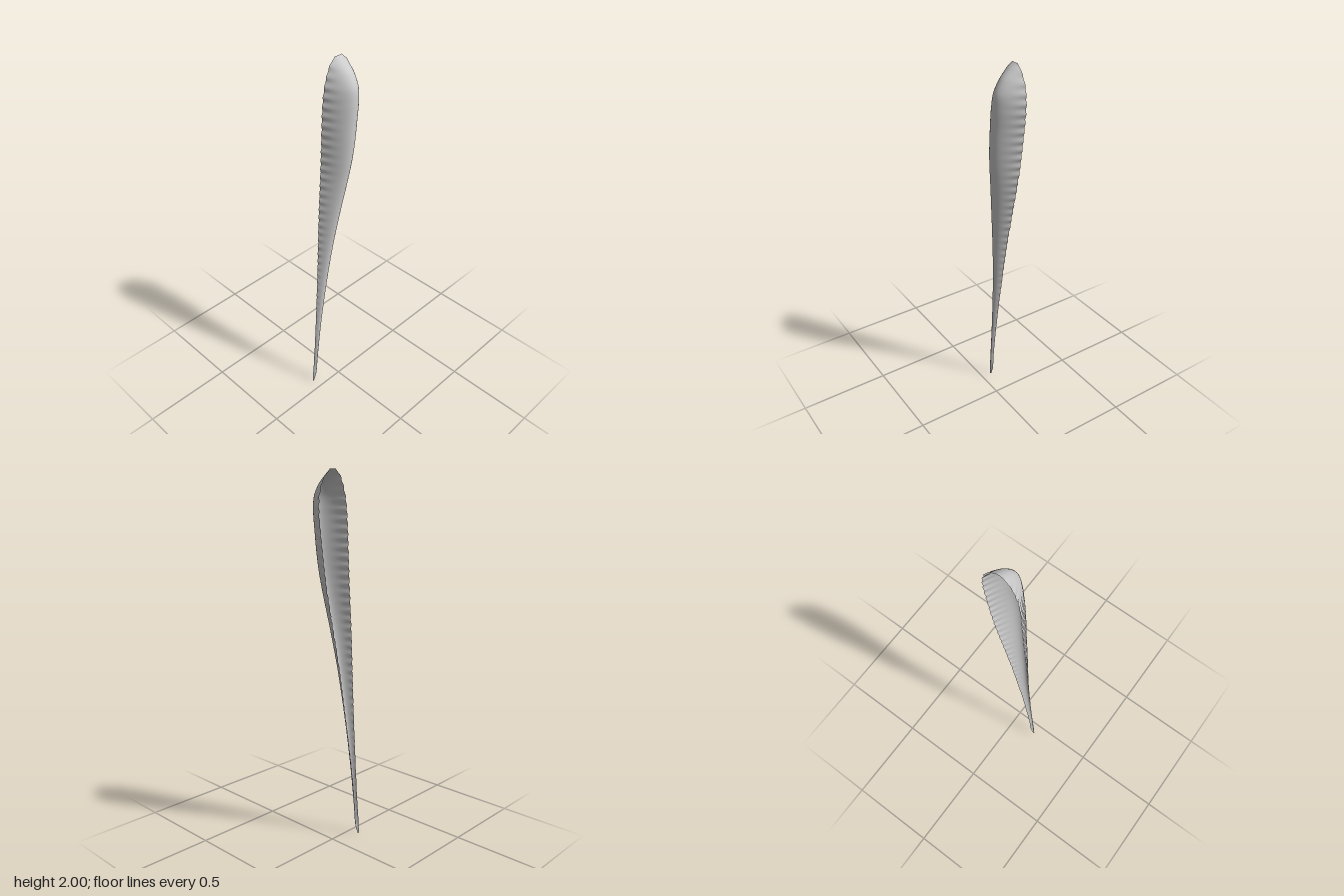
import * as THREE from 'three';
import { ParametricGeometry } from 'three/addons/geometries/ParametricGeometry.js';

const BACK = -0.06;

// Cross-sections from the tip up: height, left rim x, right rim x, depth
const SECTIONS = [
  [0, -0.157, -0.148, 0.003], [0.05, -0.154, -0.13, 0.01],
  [0.2, -0.14, -0.115, 0.014], [0.4, -0.125, -0.09, 0.018],
  [0.6, -0.112, -0.06, 0.025], [0.8, -0.1, -0.026, 0.036],
  [1.0, -0.09, 0.01, 0.053], [1.2, -0.08, 0.053, 0.075],
  [1.4, -0.066, 0.097, 0.1], [1.5, -0.06, 0.115, 0.112],
  [1.6, -0.055, 0.13, 0.118], [1.7, -0.05, 0.143, 0.119],
  [1.8, -0.042, 0.154, 0.118], [1.87, -0.031, 0.152, 0.109],
  [1.93, -0.012, 0.136, 0.076], [1.97, 0.008, 0.112, 0.037],
  [2.0, 0.038, 0.082, 0.002],
];

// Smooth curves through the rims and through the depths
const leftRim = new THREE.CatmullRomCurve3(SECTIONS.map(([y, l]) => new THREE.Vector3(l, y, 0)));
const rightRim = new THREE.CatmullRomCurve3(SECTIONS.map(([y, , r]) => new THREE.Vector3(r, y, 0)));
const depths = new THREE.CatmullRomCurve3(SECTIONS.map(([y, , , d]) => new THREE.Vector3(d, y, 0)));

function shellPoint(u, v, target) {
  const l = leftRim.getPoint(v), r = rightRim.getPoint(v), d = depths.getPoint(v).x;
  const s = u * 2 - 1;
  const half = (r.x - l.x) / 2;
  // Fine growth ridges, strongest at the rims
  const ridge = 0.0025 * Math.sin(l.y * 135) * s ** 5 * Math.min(1, half / 0.05);
  target.set((l.x + r.x) / 2 + half * s + ridge, l.y, BACK + d * (1 - s * s));
}

export function createModel() {
  const group = new THREE.Group();
  group.name = 'taperedShell';

  // Thin arched shell, hollow and open at the back
  const shell = new THREE.Mesh(
    new ParametricGeometry(shellPoint, 28, 320),
    new THREE.MeshStandardMaterial({ color: 0xcccccc, side: THREE.DoubleSide }),
  );
  shell.name = 'shell';
  group.add(shell);
  return group;
}
